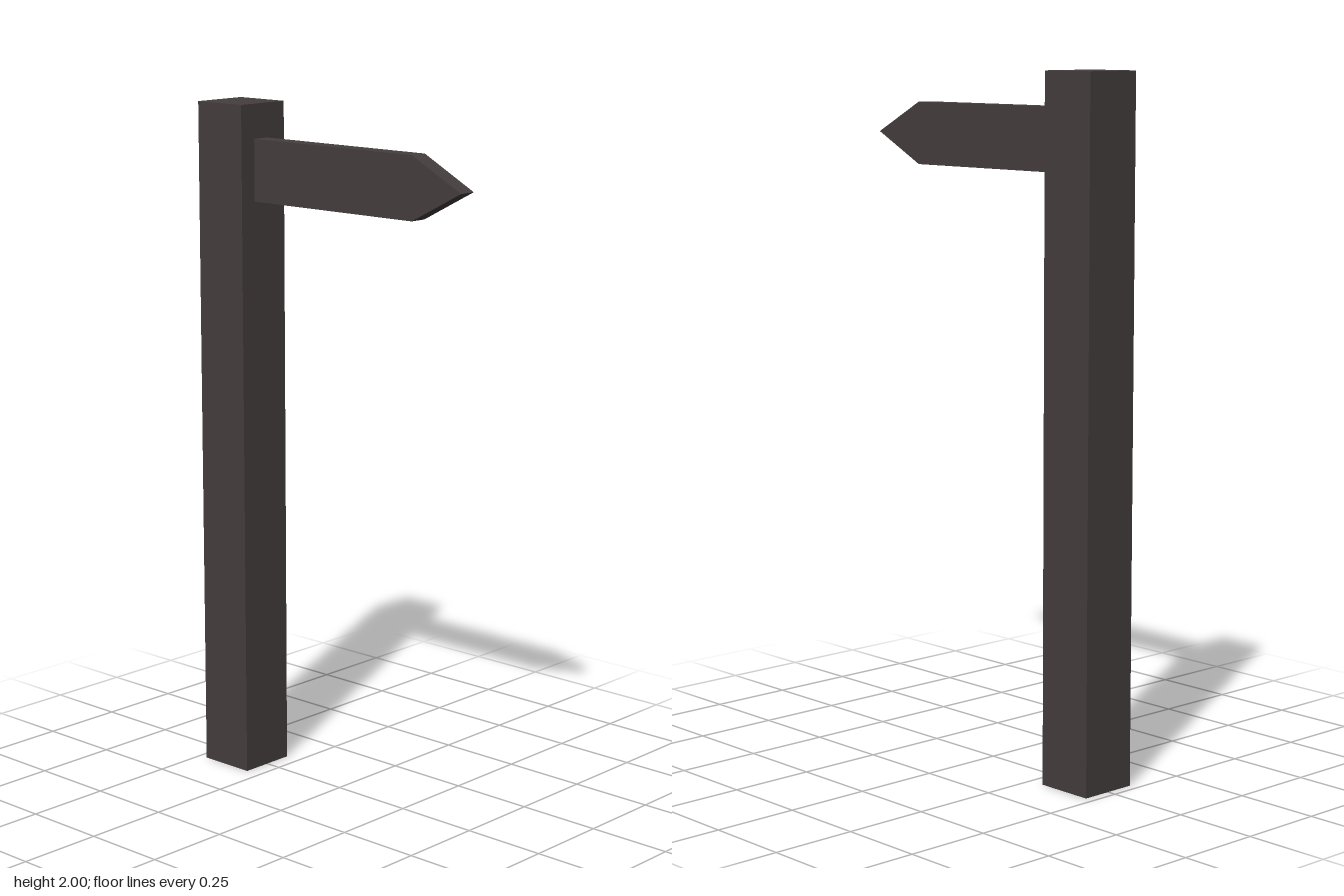
import * as THREE from 'three';

export function createModel() {
  const group = new THREE.Group();
  const darkWood = new THREE.MeshStandardMaterial({ color: 0x443e3d });
  darkWood.name = 'darkWood';

  // Square upright post
  const post = new THREE.Mesh(new THREE.BoxGeometry(0.174, 2, 0.174), darkWood);
  post.name = 'post';
  post.position.set(0, 1, -0.386);
  group.add(post);

  // Pointed sign board: outline drawn in (z, y), extruded across x
  const outline = new THREE.Shape([
    [-0.3, 1.72], [0.299, 1.72], [0.473, 1.81], [0.299, 1.9], [-0.3, 1.9],
  ].map(([z, y]) => new THREE.Vector2(z, y)));
  const boardGeometry = new THREE.ExtrudeGeometry(outline, { depth: 0.053, bevelEnabled: false });
  boardGeometry.rotateY(-Math.PI / 2);
  boardGeometry.translate(0.018, 0, 0);
  const board = new THREE.Mesh(boardGeometry, darkWood);
  board.name = 'arrowBoard';
  group.add(board);

  return group;
}
